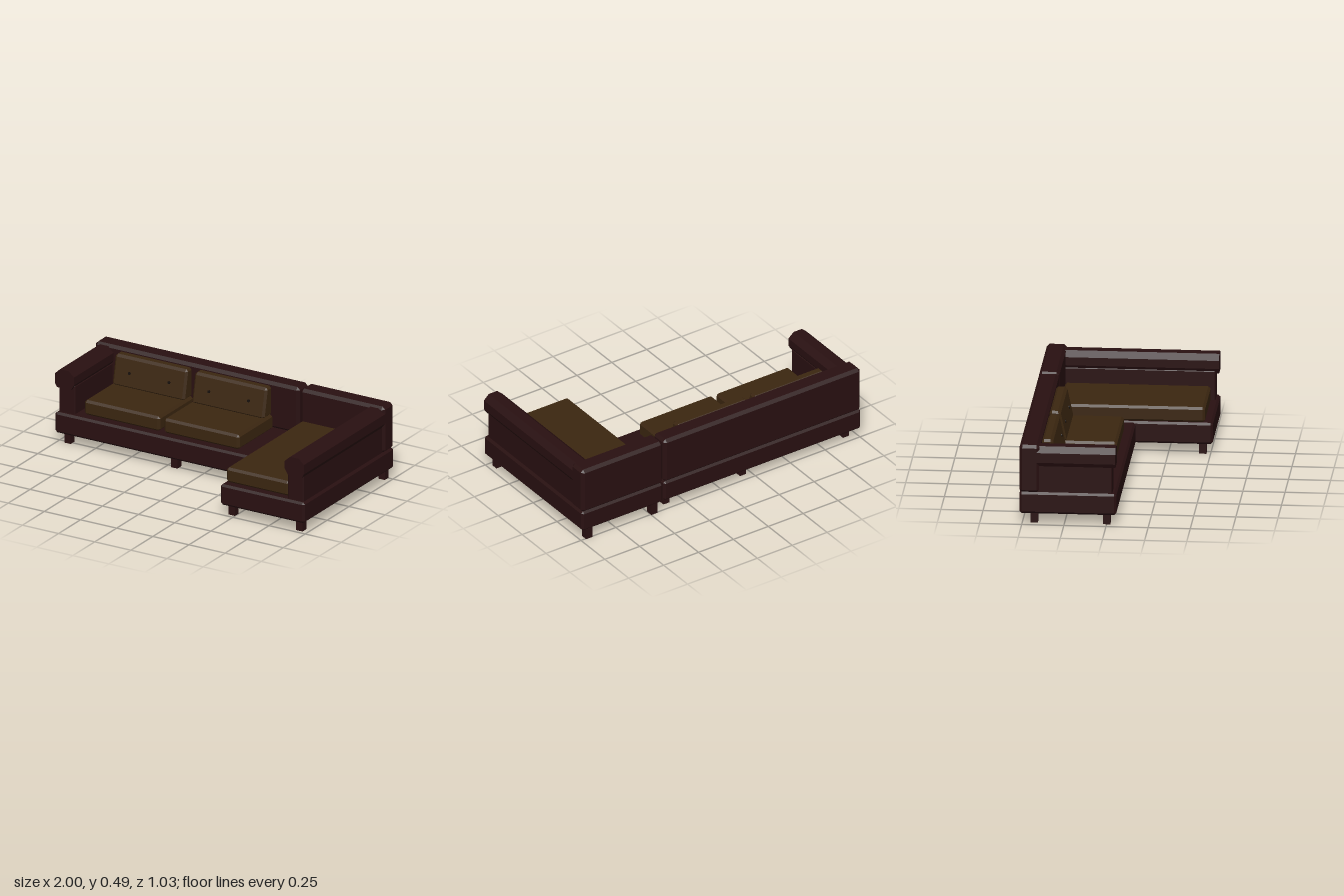
import * as THREE from 'three';
import { ConvexGeometry } from 'three/addons/geometries/ConvexGeometry.js';

export function createModel() {
  const group = new THREE.Group();
  const mat = (name, color) => {
    const m = new THREE.MeshStandardMaterial({ color });
    m.name = name;
    return m;
  };
  const leather = mat('dark brown leather', 0x291011);
  const fabric = mat('olive brown fabric', 0x3b2610);
  const dark = mat('button black', 0x120a07);

  const add = (name, geometry, material) => {
    const mesh = new THREE.Mesh(geometry, material);
    mesh.name = name;
    group.add(mesh);
    return mesh;
  };

  // Box given by its limits, every edge cut by a chamfer c; lean shifts the top back in z
  function block(name, [x0, x1], [y0, y1], [z0, z1], c, material, lean = 0) {
    const pts = [];
    for (const sx of [0, 1]) for (const sy of [0, 1]) for (const sz of [0, 1]) {
      const p = [sx ? x1 : x0, sy ? y1 : y0, sz ? z1 : z0];
      const inward = [sx ? -c : c, sy ? -c : c, sz ? -c : c];
      for (let axis = 0; axis < 3; axis++) {
        const q = p.map((v, i) => (i === axis ? v : v + inward[i]));
        const t = (q[1] - y0) / (y1 - y0);
        pts.push(new THREE.Vector3(q[0], q[1], q[2] - (sz ? lean * t : 0)));
      }
    }
    return add(name, new ConvexGeometry(pts), material);
  }

  // Arm: a faceted roll on top of a narrower upright panel; side is -1 or 1
  function arm(name, side, z0, z1) {
    const profile = [[1, 0.385], [1, 0.445], [0.965, 0.478], [0.905, 0.478],
      [0.868, 0.445], [0.868, 0.395], [0.89, 0.36], [0.985, 0.36]];
    const shape = new THREE.Shape(profile.map(([x, y]) => new THREE.Vector2(side * x, y)));
    const roll = new THREE.ExtrudeGeometry(shape, { depth: z1 - z0, bevelEnabled: false });
    roll.translate(0, 0, z0);
    add(name + 'Roll', roll, leather);
    const xs = side < 0 ? [-0.985, -0.875] : [0.875, 0.985];
    block(name + 'Panel', xs, [0.18, 0.38], [z0, z1 - 0.02], 0.006, leather);
  }

  // Plinths and backs of the two modules
  block('sofaBase', [-1, 0.412], [0.068, 0.2], [-0.515, 0.06], 0.013, leather);
  block('chaiseBase', [0.42, 1], [0.068, 0.2], [-0.515, 0.515], 0.013, leather);
  block('sofaBack', [-1, 0.412], [0.195, 0.49], [-0.515, -0.395], 0.018, leather);
  block('chaiseBack', [0.42, 1], [0.195, 0.49], [-0.515, -0.395], 0.018, leather);

  arm('sofaArm', -1, -0.45, 0.055);
  arm('chaiseArm', 1, -0.45, 0.515);

  // Sofa seat and back cushions with tufting buttons
  for (const cx of [-0.57, -0.02]) {
    block('seatCushion', [cx - 0.26, cx + 0.26], [0.198, 0.292], [-0.392, 0.005], 0.014, fabric);
    block('backCushion', [cx - 0.25, cx + 0.25], [0.285, 0.472], [-0.396, -0.292], 0.014, fabric, 0.04);
    for (const dx of [-0.137, 0.137]) {
      const button = add('button', new THREE.CylinderGeometry(0.009, 0.009, 0.008, 8), dark);
      button.rotation.x = Math.PI / 2 - 0.21;
      button.position.set(cx + dx, 0.378, -0.311);
    }
  }
  block('chaiseCushion', [0.432, 0.866], [0.198, 0.292], [-0.398, 0.468], 0.014, fabric);

  // Square legs
  const leg = (x, z) => {
    const m = add('leg', new THREE.BoxGeometry(0.044, 0.076, 0.044), leather);
    m.position.set(x, 0.038, z);
  };
  for (const x of [-0.933, -0.195, 0.353]) for (const z of [-0.43, 0]) leg(x, z);
  for (const x of [0.477, 0.945]) for (const z of [-0.484, 0.453]) leg(x, z);

  return group;
}
